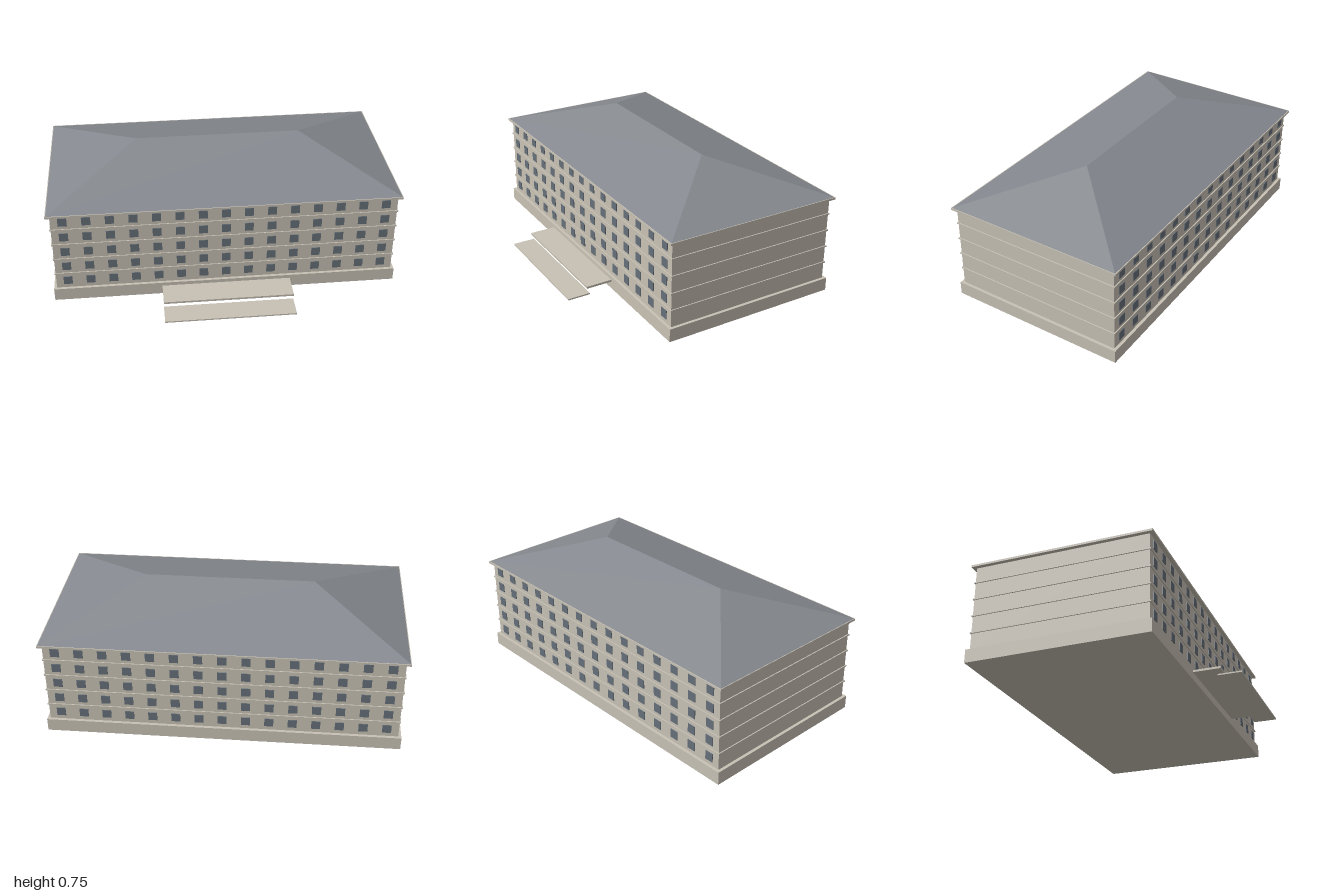
import * as THREE from 'three';

const CZ = -0.132; // centre of the building in z

export function createModel() {
  const model = new THREE.Group();
  const stone = new THREE.MeshStandardMaterial({ color: 0xc8c2b5 });
  stone.name = 'stone';
  const glass = new THREE.MeshStandardMaterial({ color: 0x66707a });
  glass.name = 'glass';
  const slate = new THREE.MeshStandardMaterial({ color: 0x85898f });
  slate.name = 'slate';

  // Box given by its size in x and z, its bottom and top, and its centre in z
  function slab(name, w, d, y0, y1, z = CZ) {
    const mesh = new THREE.Mesh(new THREE.BoxGeometry(w, y1 - y0, d), stone);
    mesh.name = name;
    mesh.position.set(0, (y0 + y1) / 2, z);
    model.add(mesh);
  }

  slab('plinth', 1.988, 1.036, 0, 0.076);
  slab('walls', 1.954, 1.002, 0.076, 0.566);
  slab('cornice', 2, 1.046, 0.566, 0.578);

  // Thin bands between the storeys
  for (let i = 0; i < 4; i++) {
    const y = 0.176 + i * 0.1;
    slab('storeyBand', 1.966, 1.014, y - 0.004, y + 0.004);
  }

  // Entrance steps
  slab('upperStep', 0.746, 0.16, 0.043, 0.055, 0.46);
  slab('lowerStep', 0.746, 0.133, 0.003, 0.011, 0.59);

  // Windows: five storeys of fifteen, front and back
  const windows = new THREE.Group();
  windows.name = 'windows';
  const pane = new THREE.BoxGeometry(0.05, 0.051, 0.008);
  for (const side of [1, -1]) {
    for (let row = 0; row < 5; row++) {
      for (let col = -7; col <= 7; col++) {
        const mesh = new THREE.Mesh(pane, glass);
        mesh.name = 'window';
        mesh.position.set(col * 0.13, 0.126 + row * 0.1, CZ + side * 0.501);
        windows.add(mesh);
      }
    }
  }
  model.add(windows);

  // Hipped roof: a box whose top is drawn in to a ridge
  const roofGeometry = new THREE.BoxGeometry(1.992, 0.172, 1.036).toNonIndexed();
  const p = roofGeometry.attributes.position;
  for (let i = 0; i < p.count; i++) {
    if (p.getY(i) > 0) {
      p.setX(i, Math.sign(p.getX(i)) * 0.48);
      p.setZ(i, 0);
    }
  }
  roofGeometry.computeVertexNormals();
  const roof = new THREE.Mesh(roofGeometry, slate);
  roof.name = 'roof';
  roof.position.set(0, 0.664, CZ);
  model.add(roof);

  return model;
}
